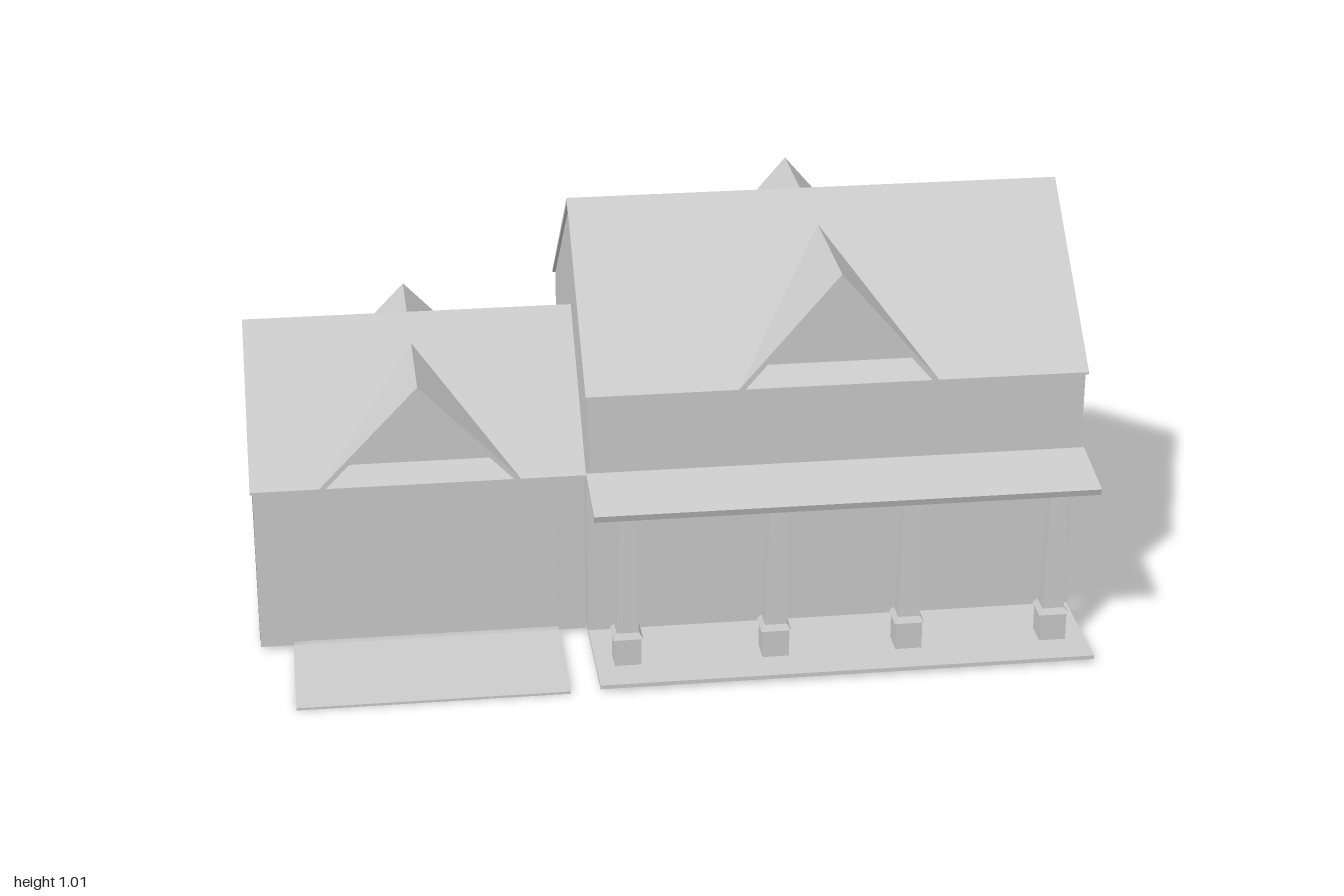
import * as THREE from 'three';

const MAT = new THREE.MeshStandardMaterial({ color: 0xcccccc, flatShading: true, side: THREE.DoubleSide });
const RIDGE_Z = -0.11;

function add(parent, name, geometry) {
  const mesh = new THREE.Mesh(geometry, MAT);
  mesh.name = name;
  parent.add(mesh);
  return mesh;
}

// Shape from [x, y] pairs
const shapeOf = (pts) => new THREE.Shape(pts.map(([x, y]) => new THREE.Vector2(x, y)));

// Solid with a [z, y] profile running from x0 to x1
function prismX(pts, x0, x1) {
  const shape = shapeOf(pts.map(([z, y]) => [-z, y]));
  return new THREE.ExtrudeGeometry(shape, { depth: x1 - x0, bevelEnabled: false })
    .rotateY(Math.PI / 2).translate(x0, 0, 0);
}

// Solid with an [x, y] profile running from z0 to z1
function prismZ(pts, z0, z1) {
  return new THREE.ExtrudeGeometry(shapeOf(pts), { depth: z1 - z0, bevelEnabled: false }).translate(0, 0, z0);
}

// Open-bottomed wall shell: strip along an open [z, y] outline, plus two gable ends
function wallShell(parent, name, pts, strip, x0, x1) {
  const group = new THREE.Group();
  group.name = name;
  const pos = [];
  for (let i = 0; i < strip.length - 1; i++) {
    const [za, ya] = strip[i], [zb, yb] = strip[i + 1];
    pos.push(x0, ya, za, x1, ya, za, x1, yb, zb, x0, ya, za, x1, yb, zb, x0, yb, zb);
  }
  const sides = new THREE.BufferGeometry();
  sides.setAttribute('position', new THREE.Float32BufferAttribute(pos, 3));
  sides.computeVertexNormals();
  add(group, 'longWalls', sides);
  for (const x of [x0, x1]) {
    const end = new THREE.ShapeGeometry(shapeOf(pts.map(([z, y]) => [-z, y])));
    add(group, 'gableWall', end.rotateY(Math.PI / 2).translate(x, 0, 0));
  }
  parent.add(group);
}

// Pitched roof along x with a cross gable showing at front and rear
function roofWithDormers(parent, name, o) {
  const group = new THREE.Group();
  group.name = name;
  const { x0, x1, half, eave, ridge, dormerX, dormerTop, recessY } = o;
  const t = 0.012, zf = RIDGE_Z + half, zb = RIDGE_Z - half;
  add(group, 'mainRoof', prismX([
    [zf, eave], [RIDGE_Z, ridge], [zb, eave], [zb, eave - t * 0.5], [RIDGE_Z, ridge - t * 1.3], [zf, eave - t * 0.5],
  ], x0, x1));

  // Cross gable roof
  const w = 0.24, slope = (dormerTop - eave) / w, edge = 0.016;
  add(group, 'dormerRoof', prismZ([
    [dormerX - w, eave], [dormerX - w + edge, eave], [dormerX, dormerTop - edge * slope],
    [dormerX + w - edge, eave], [dormerX + w, eave], [dormerX, dormerTop],
  ], zb, zf));

  // Gable faces set back beneath the dormer roof
  const dz = half * (ridge - recessY) / (ridge - eave);
  const bottom = recessY - 0.01, hw = (dormerTop - edge * 0.5 - bottom) / slope;
  for (const s of [1, -1]) {
    const face = new THREE.ShapeGeometry(shapeOf([
      [dormerX - hw, bottom], [dormerX + hw, bottom], [dormerX, dormerTop - edge * 0.5],
    ]));
    if (s < 0) face.translate(-dormerX, 0, 0).rotateY(Math.PI).translate(dormerX, 0, 0);
    add(group, 'dormerGable', face.translate(0, 0, RIDGE_Z + s * dz));
  }
  parent.add(group);
}

// Square frustum
function frustum(top, bottom, y0, y1) {
  return new THREE.CylinderGeometry(top * Math.SQRT1_2, bottom * Math.SQRT1_2, y1 - y0, 4)
    .rotateY(Math.PI / 4).translate(0, (y0 + y1) / 2, 0);
}

export function createModel() {
  const model = new THREE.Group();
  model.name = 'house';

  // Main house with overhanging upper floor
  const house = [
    [0.243, 0.01], [0.243, 0.405], [0.297, 0.405], [0.297, 0.66], [RIDGE_Z, 1.0],
    [-0.515, 0.66], [-0.515, 0.405], [-0.46, 0.405], [-0.46, 0.01],
  ];
  wallShell(model, 'mainHouseWalls', house, house, -0.2, 0.993);
  roofWithDormers(model, 'mainHouseRoof', {
    x0: -0.207, x1: 1.0, half: 0.412, eave: 0.665, ridge: 1.012, dormerX: 0.396, dormerTop: 0.945, recessY: 0.705,
  });

  // Garage wing
  const garage = [[0.215, 0.01], [0.215, 0.422], [RIDGE_Z, 0.724], [-0.438, 0.422], [-0.438, 0.01]];
  wallShell(model, 'garageWalls', garage, garage.slice(1), -0.995, -0.203);
  roofWithDormers(model, 'garageRoof', {
    x0: -1.0, x1: -0.2, half: 0.333, eave: 0.427, ridge: 0.735, dormerX: -0.596, dormerTop: 0.678, recessY: 0.467,
  });

  // Garage front wall with a recessed door
  add(model, 'garageFrontWall', prismZ([
    [-0.994, 0.01], [-0.915, 0.01], [-0.915, 0.38], [-0.27, 0.38],
    [-0.27, 0.01], [-0.204, 0.01], [-0.204, 0.422], [-0.994, 0.422],
  ], 0.195, 0.215));
  add(model, 'garageDoor', new THREE.BoxGeometry(0.645, 0.37, 0.005).translate(-0.5925, 0.195, 0.195));

  // Ground slabs
  add(model, 'driveway', prismX([[0.22, 0.012], [0.22, 0.006], [0.52, 0], [0.52, 0.006]], -0.915, -0.27));
  add(model, 'porchFloor', prismX([[0.243, 0.018], [0.243, 0.008], [0.522, 0.008], [0.522, 0.018]], -0.2, 0.993));

  // Porch ceiling and sloping roof
  add(model, 'porchCeiling', prismX([[0.19, 0.425], [0.19, 0.407], [0.432, 0.407], [0.432, 0.425]], -0.197, 0.99));
  add(model, 'porchRoof', prismX([[0.297, 0.466], [0.297, 0.45], [0.469, 0.42], [0.475, 0.437]], -0.207, 1.0));

  // Porch columns
  for (const x of [-0.124, 0.233, 0.557, 0.912]) {
    const column = new THREE.Group();
    column.name = 'porchColumn';
    add(column, 'columnBase', frustum(0.064, 0.064, 0.018, 0.088));
    add(column, 'columnCollar', frustum(0.054, 0.072, 0.088, 0.102));
    add(column, 'columnShaft', frustum(0.036, 0.053, 0.102, 0.407));
    column.position.set(x, 0, 0.399);
    model.add(column);
  }
  return model;
}
